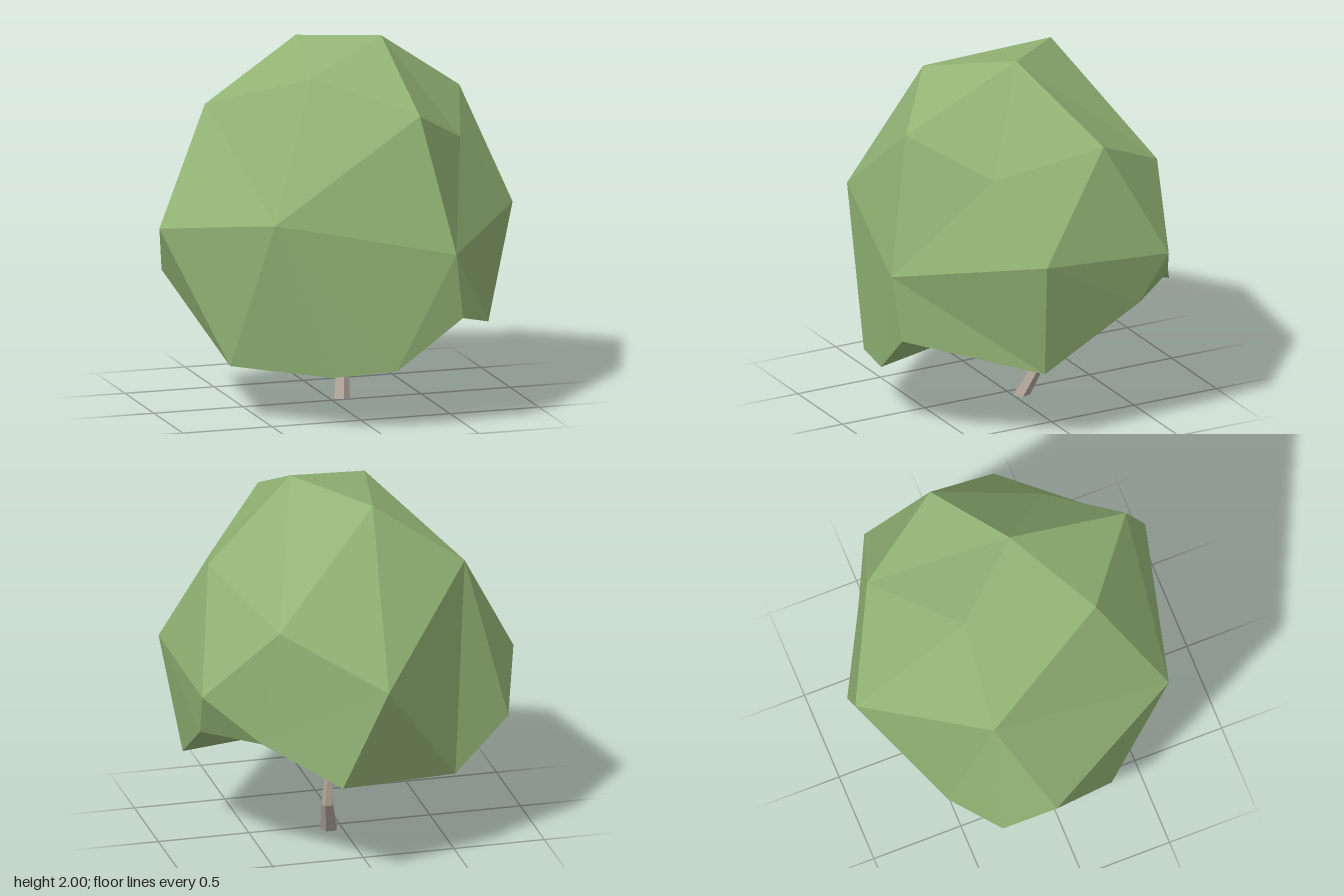
import * as THREE from 'three';
import { ConvexGeometry } from 'three/addons/geometries/ConvexGeometry.js';

// Corners of the leaf mass, grouped from the top downwards.
const corners = {
  top: [0.25, 2.0, 0.08], topBack: [-0.1, 1.94, -0.32], topFront: [-0.24, 1.86, 0.38],
  browFront: [0.25, 1.7, 0.75], browLeft: [0.77, 1.64, -0.17], browRight: [-0.6, 1.59, -0.35],
  browCorner: [0.59, 1.49, 0.4], browBack: [0.5, 1.39, -0.64],
  midFront: [0.4, 0.97, 0.92], midFrontRight: [-0.54, 1.14, 0.68], midLeft: [0.93, 1.08, 0.26],
  midRight: [-0.93, 0.98, -0.12], midBack: [-0.03, 1.1, -0.92], midBackLeft: [0.89, 1.01, -0.5],
  lowRight: [-0.83, 0.69, -0.39], lowLeft: [0.81, 0.42, 0.21], lowFront: [0.45, 0.61, 0.88],
  hemFront: [0.1, 0.33, 0.82], hemFrontRight: [-0.24, 0.3, 0.74], hemRight: [-0.67, 0.3, 0.3],
  hemLeft: [0.86, 0.75, -0.34], hemBackLeft: [0.6, 0.77, -0.65], hemBack: [0.21, 0.56, -0.87],
  hemBackRight: [-0.49, 0.46, -0.57],
  underFront: [0.35, 0.55, 0.33], underMiddle: [0.1, 0.68, -0.23], underRight: [-0.38, 0.41, 0.11],
};

// Skins the corners: their directions are hulled on a sphere, then pulled to their real places.
function leafGeometry() {
  const names = Object.keys(corners);
  const points = names.map((n) => new THREE.Vector3(...corners[n]));
  const centre = new THREE.Vector3(0, 1, 0);
  const dirs = points.map((p) => p.clone().sub(centre).normalize());
  const hull = new ConvexGeometry(dirs).getAttribute('position');
  const v = new THREE.Vector3();
  const faces = [];
  for (let i = 0; i < hull.count; i++) {
    v.fromBufferAttribute(hull, i);
    let best = 0;
    dirs.forEach((d, k) => { if (d.distanceToSquared(v) < dirs[best].distanceToSquared(v)) best = k; });
    if (i % 3 === 0) faces.push([]);
    faces[faces.length - 1].push(best);
  }

  // Turns the shared edge of two triangles to make a crease.
  const findEdge = (a, b) => faces.findIndex((f) => f.some((p, i) => p === a && f[(i + 1) % 3] === b));
  const turnEdge = (nameA, nameB) => {
    const a = names.indexOf(nameA), b = names.indexOf(nameB);
    const f = findEdge(a, b), g = findEdge(b, a);
    if (f < 0 || g < 0) return;
    const c = faces[f].find((p) => p !== a && p !== b);
    const d = faces[g].find((p) => p !== a && p !== b);
    faces[f] = [a, d, c];
    faces[g] = [d, b, c];
  };
  turnEdge('midLeft', 'lowFront');
  turnEdge('topBack', 'browLeft');
  turnEdge('midBack', 'lowRight');

  const geometry = new THREE.BufferGeometry().setFromPoints(faces.flat().map((k) => points[k]));
  geometry.computeVertexNormals();
  return geometry;
}

// Bends and tapers a five-sided column along sections of [x, y, z, radius], top first.
function trunkGeometry() {
  const sections = [[0.07, 0.72, 0.02, 0.008], [0.085, 0.4, -0.13, 0.022], [0.103, 0.18, -0.145, 0.034], [0.068, 0, -0.05, 0.048]];
  const geometry = new THREE.CylinderGeometry(1, 1, 1, 5, sections.length - 1);
  const pos = geometry.getAttribute('position');
  for (let i = 0; i < pos.count; i++) {
    const [x, y, z, r] = sections[Math.round((0.5 - pos.getY(i)) * (sections.length - 1))];
    pos.setXYZ(i, x + pos.getX(i) * r, y, z + pos.getZ(i) * r);
  }
  const flat = geometry.toNonIndexed();
  flat.computeVertexNormals();
  return flat;
}

export function createModel() {
  const group = new THREE.Group();
  group.name = 'tree';
  const add = (name, geometry, color) => {
    const mesh = new THREE.Mesh(geometry, new THREE.MeshStandardMaterial({ color, flatShading: true }));
    mesh.name = name;
    group.add(mesh);
  };
  add('leaves', leafGeometry(), 0x93b475);
  add('trunk', trunkGeometry(), 0xada297);
  return group;
}
